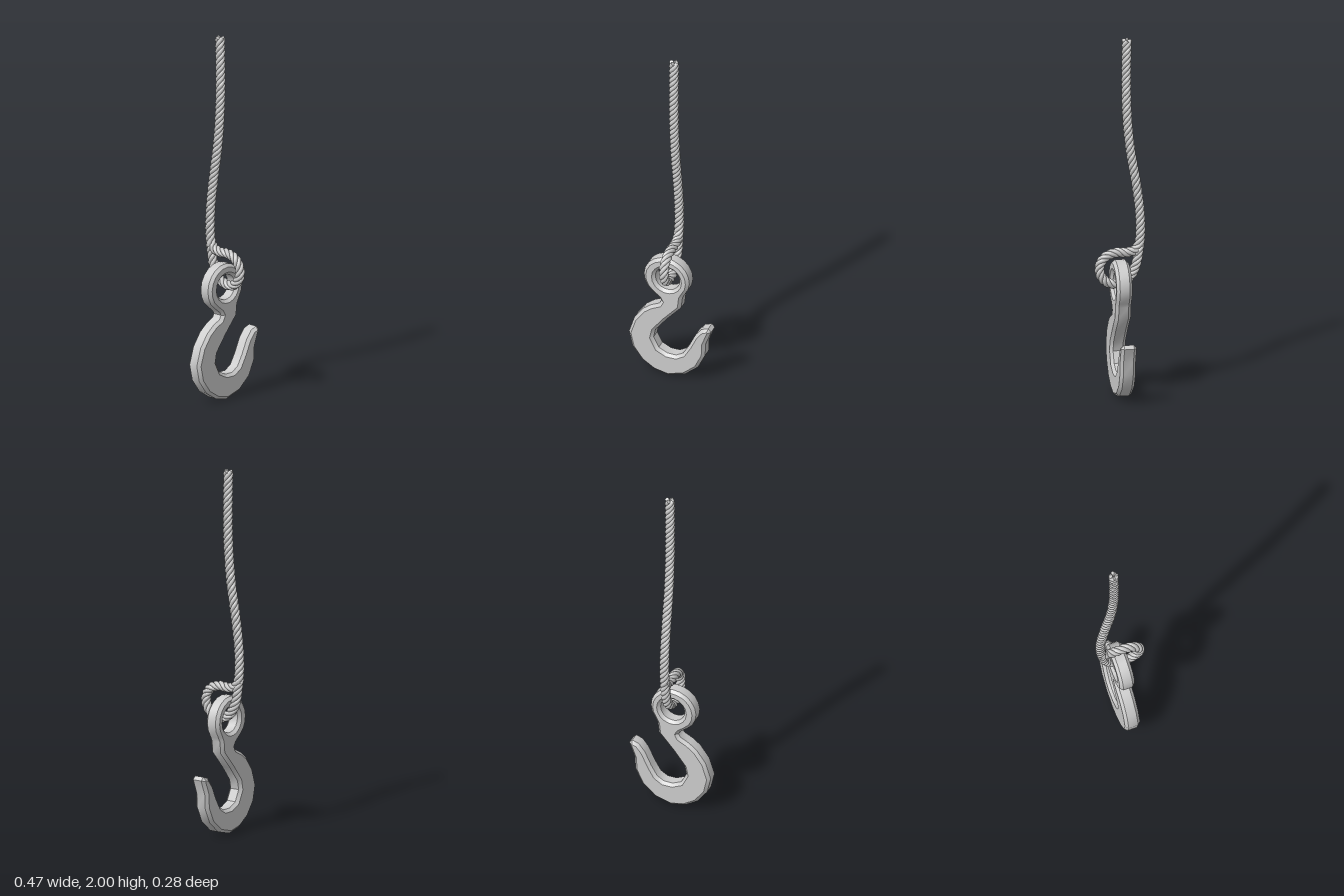
import * as THREE from 'three';
import { toCreasedNormals } from 'three/addons/utils/BufferGeometryUtils.js';

const grey = new THREE.MeshStandardMaterial({ color: 0xcccccc });

// Points along an arc, angles in degrees
function arc(cx, cy, r, from, to, steps) {
  return Array.from({ length: steps + 1 }, (_, i) => {
    const a = THREE.MathUtils.degToRad(from + (to - from) * i / steps);
    return new THREE.Vector2(cx + r * Math.cos(a), cy + r * Math.sin(a));
  });
}

// Hook: chamfered plate with an eye
function makeHook() {
  const body = [
    [-0.10, 0.525], [-0.06, 0.493], [-0.05, 0.475], [-0.06, 0.455], // left of neck
    [-0.11, 0.43], [-0.155, 0.395], [-0.205, 0.325], [-0.235, 0.23], [-0.215, 0.14], // back of bend
    [-0.16, 0.065], [-0.09, 0.02], [-0.01, 0.003], [0.085, 0.03], [0.16, 0.095],
    [0.2, 0.18], [0.203, 0.255], [0.235, 0.34], [0.218, 0.358], [0.18, 0.345], // tip
    [0.145, 0.3], [0.11, 0.225], [0.075, 0.165], [0.035, 0.141], [-0.015, 0.141], // inside of bend
    [-0.065, 0.165], [-0.095, 0.225], [-0.085, 0.275], [-0.02, 0.36], [0.063, 0.455], [0.07, 0.52],
  ].map(([x, y]) => new THREE.Vector2(x, y));
  const shape = new THREE.Shape([...arc(-0.02, 0.625, 0.13, -38, 214, 14), ...body]);
  shape.holes.push(new THREE.Path(arc(-0.015, 0.625, 0.07, 360, 20, 17)));

  const bevel = 0.016, thickness = 0.085;
  const geo = new THREE.ExtrudeGeometry(shape, {
    depth: thickness - 2 * bevel, bevelEnabled: true, bevelSegments: 1,
    bevelSize: bevel, bevelThickness: bevel, bevelOffset: -bevel,
  });
  geo.translate(0, 0, -0.05 + bevel);
  const hook = new THREE.Mesh(toCreasedNormals(geo, 0.65), grey);
  hook.name = 'hook';
  return hook;
}

// One strand winding around a centre line that lies in the plane x = 0
class Strand extends THREE.Curve {
  constructor(path, phase, offset, turns) {
    super();
    Object.assign(this, { path, phase, offset, turns, arcLengthDivisions: 800 });
  }
  getPoint(t, target = new THREE.Vector3()) {
    const a = this.phase + t * this.turns * Math.PI * 2;
    const side = new THREE.Vector3(1, 0, 0);
    const up = this.path.getTangentAt(t).cross(side);
    return target.copy(this.path.getPointAt(t))
      .addScaledVector(side, Math.cos(a) * this.offset)
      .addScaledVector(up, Math.sin(a) * this.offset);
  }
}

// Rope: hangs down, passes through the eye and loops back to itself
function makeRope() {
  const path = new THREE.CatmullRomCurve3([
    [1.997, -0.037], [1.8, -0.034], [1.6, -0.037], [1.4, -0.054], [1.2, -0.086], [1.05, -0.106],
    [0.92, -0.111], [0.82, -0.102], [0.72, -0.082], [0.66, -0.045], [0.634, 0.01],
    [0.645, 0.07], [0.69, 0.106], [0.745, 0.108], [0.79, 0.075], [0.808, 0.02],
    [0.806, -0.04], [0.82, -0.085], [0.86, -0.108],
  ].map(([y, z]) => new THREE.Vector3(0, y, z)));
  path.arcLengthDivisions = 800;

  const rope = new THREE.Group();
  rope.name = 'rope';
  const strands = 4, radius = 0.0115, offset = 0.0155;
  const turns = path.getLength() / 0.125;
  for (let i = 0; i < strands; i++) {
    const curve = new Strand(path, i / strands * Math.PI * 2, offset, turns);
    const strand = new THREE.Mesh(new THREE.TubeGeometry(curve, 340, radius, 8), grey);
    strand.name = 'ropeStrand';
    rope.add(strand);
    // Cut ends
    for (const t of [0, 1]) {
      const cap = new THREE.Mesh(new THREE.CircleGeometry(radius, 8), grey);
      cap.name = 'strandEnd';
      const out = curve.getTangentAt(t).multiplyScalar(t ? 1 : -1);
      cap.position.copy(curve.getPointAt(t));
      cap.quaternion.setFromUnitVectors(new THREE.Vector3(0, 0, 1), out);
      rope.add(cap);
    }
  }
  return rope;
}

export function createModel() {
  const model = new THREE.Group();
  model.name = 'hookOnRope';
  model.add(makeHook(), makeRope());
  return model;
}
